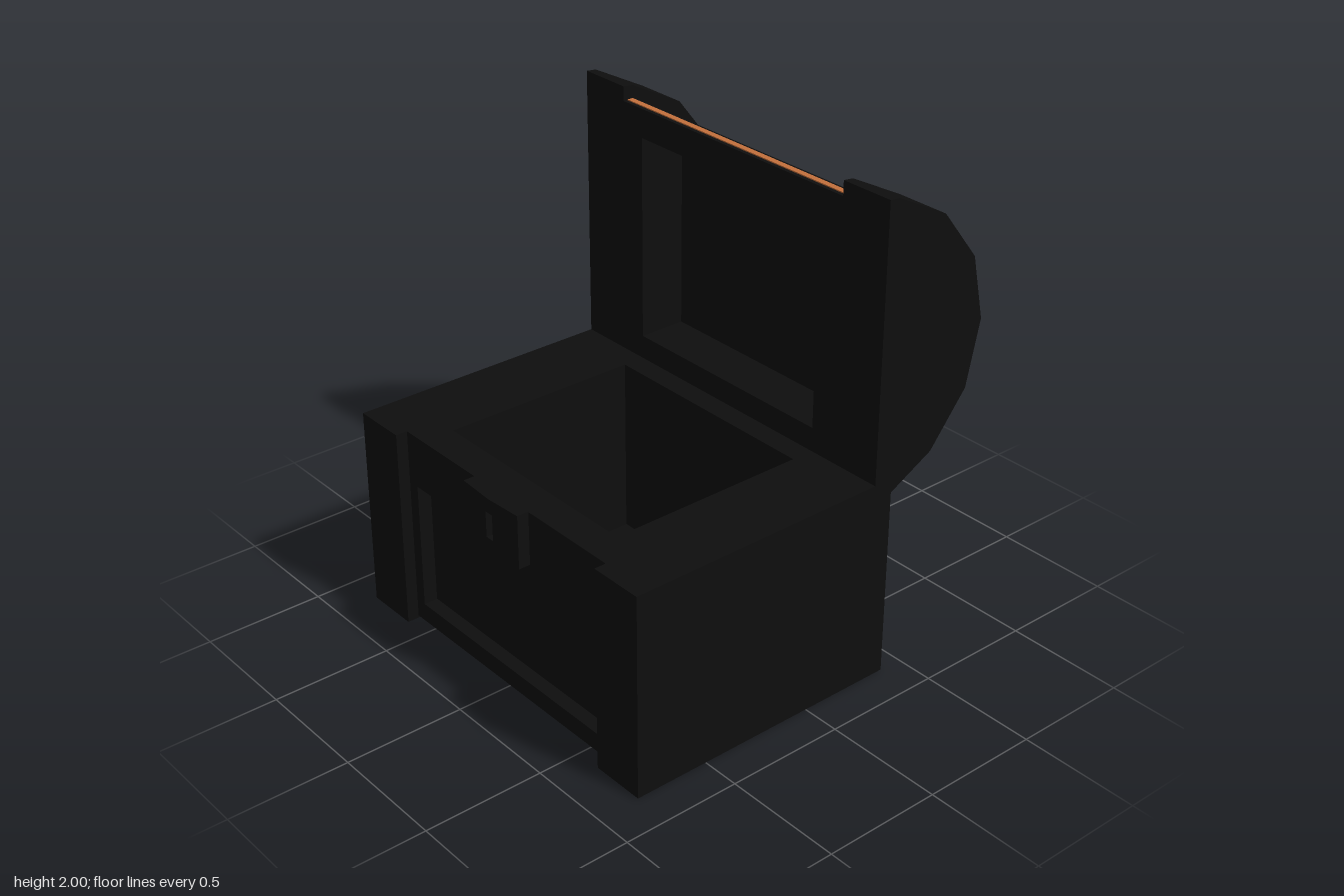
import * as THREE from 'three';

const dark = new THREE.MeshStandardMaterial({ color: 0x0e0e0e, flatShading: true });
const orange = new THREE.MeshStandardMaterial({ color: 0xc4703c, flatShading: true });

function shapeOf(points, hole) {
  const s = new THREE.Shape(points.map(p => new THREE.Vector2(...p)));
  if (hole) s.holes.push(new THREE.Path(hole.map(p => new THREE.Vector2(...p))));
  return s;
}
const rect = (x0, x1, y0, y1) => [[x0, y0], [x1, y0], [x1, y1], [x0, y1]];

export function createModel() {
  const model = new THREE.Group();
  const group = name => {
    const g = new THREE.Group();
    g.name = name;
    model.add(g);
    return g;
  };
  const base = group('base');
  const lid = group('lid');

  function add(parent, name, geometry, material = dark) {
    const m = new THREE.Mesh(geometry, material);
    m.name = name;
    parent.add(m);
    return m;
  }
  function box(parent, name, x0, x1, y0, y1, z0, z1, material) {
    const g = new THREE.BoxGeometry(x1 - x0, y1 - y0, z1 - z0);
    g.translate((x0 + x1) / 2, (y0 + y1) / 2, (z0 + z1) / 2);
    return add(parent, name, g, material);
  }
  // outline in (x, y), extruded from z0 to z1
  function alongZ(parent, name, outline, hole, z0, z1) {
    const g = new THREE.ExtrudeGeometry(shapeOf(outline, hole), { depth: z1 - z0, bevelEnabled: false });
    return add(parent, name, g.translate(0, 0, z0));
  }
  // outline in (z, y), extruded from x0 to x1
  function alongX(parent, name, outline, hole, x0, x1) {
    const flip = pts => pts && pts.map(([z, y]) => [-z, y]);
    const g = new THREE.ExtrudeGeometry(shapeOf(flip(outline), flip(hole)), { depth: x1 - x0, bevelEnabled: false });
    return add(parent, name, g.rotateY(Math.PI / 2).translate(x0, 0, 0));
  }
  // same span on the left and right side
  function bothSides(x0, x1, make) {
    make(x0, x1);
    make(-x1, -x0);
  }

  // Base: floor, front and back walls with recessed panels
  box(base, 'floor', -0.61, 0.61, 0.01, 0.1, -0.31, 0.71);
  box(base, 'frontWall', -0.61, 0.61, 0.01, 0.86, 0.63, 0.71);
  alongZ(base, 'frontFrame', rect(-0.61, 0.61, 0.01, 0.86), rect(-0.56, 0.56, 0.09, 0.635), 0.71, 0.77);
  box(base, 'backWall', -0.61, 0.61, 0.01, 0.86, -0.31, -0.22);
  alongZ(base, 'backFrame', rect(-0.61, 0.61, 0.01, 0.86), rect(-0.56, 0.56, 0.09, 0.68), -0.36, -0.31);

  // Side walls, the thick bands at the ends and their panel frames
  bothSides(0.5, 0.61, (a, b) => box(base, 'innerSideWall', a, b, 0.1, 0.86, -0.22, 0.63));
  bothSides(0.61, 0.8, (a, b) => box(base, 'endBand', a, b, 0, 0.86, -0.4, 0.82));
  bothSides(0.8, 0.84, (a, b) =>
    alongX(base, 'sideFrame', rect(-0.4, 0.82, 0, 0.86), rect(-0.27, 0.69, 0.09, 0.78), a, b));

  // Lock plate, slightly bowed, with a keyhole slot
  const plate = alongZ(base, 'lockPlate', [[-0.165, 0.635], [0, 0.635], [0.165, 0.635], [0.165, 0.862], [0, 0.862], [-0.165, 0.862]],
    rect(-0.02, 0.02, 0.69, 0.8), 0.77, 0.83);
  const pos = plate.geometry.attributes.position;
  for (let i = 0; i < pos.count; i++) {
    if (pos.getZ(i) > 0.8) pos.setZ(i, 0.83 - 0.01 * Math.abs(pos.getX(i)) / 0.165);
  }

  // Two hinge barrels across the back
  bothSides(0.065, 0.56, (a, b) => alongX(base, 'hinge',
    [[-0.31, 0.68], [-0.4, 0.68], [-0.43, 0.75], [-0.4, 0.82], [-0.31, 0.82]], null, a, b));

  // Lid: faceted half barrel standing open, solid bands at both ends
  const endArc = [[-0.315, 2], [-0.36, 1.995], [-0.6, 1.87], [-0.77, 1.655], [-0.83, 1.385],
    [-0.77, 1.115], [-0.6, 0.905], [-0.36, 0.78], [-0.315, 0.77]];
  const midArc = [[-0.315, 1.94], [-0.36, 1.935], [-0.565, 1.825], [-0.72, 1.63], [-0.775, 1.385],
    [-0.72, 1.14], [-0.565, 0.945], [-0.36, 0.835], [-0.315, 0.83]];
  bothSides(0.61, 0.84, (a, b) => alongX(lid, 'lidEndBand', endArc, null, a, b));
  bothSides(0.5, 0.61, (a, b) => alongX(lid, 'lidInnerRib', midArc, null, a, b));
  // hollow middle, open towards the front
  const hollow = [[-0.315, 0.96], [-0.52, 0.96], [-0.52, 1.82], [-0.315, 1.82]];
  alongX(lid, 'lidShell', [...midArc, ...hollow], null, -0.5, 0.5);
  box(lid, 'rimStrip', -0.61, 0.61, 1.925, 1.942, -0.36, -0.335, orange);

  return model;
}
